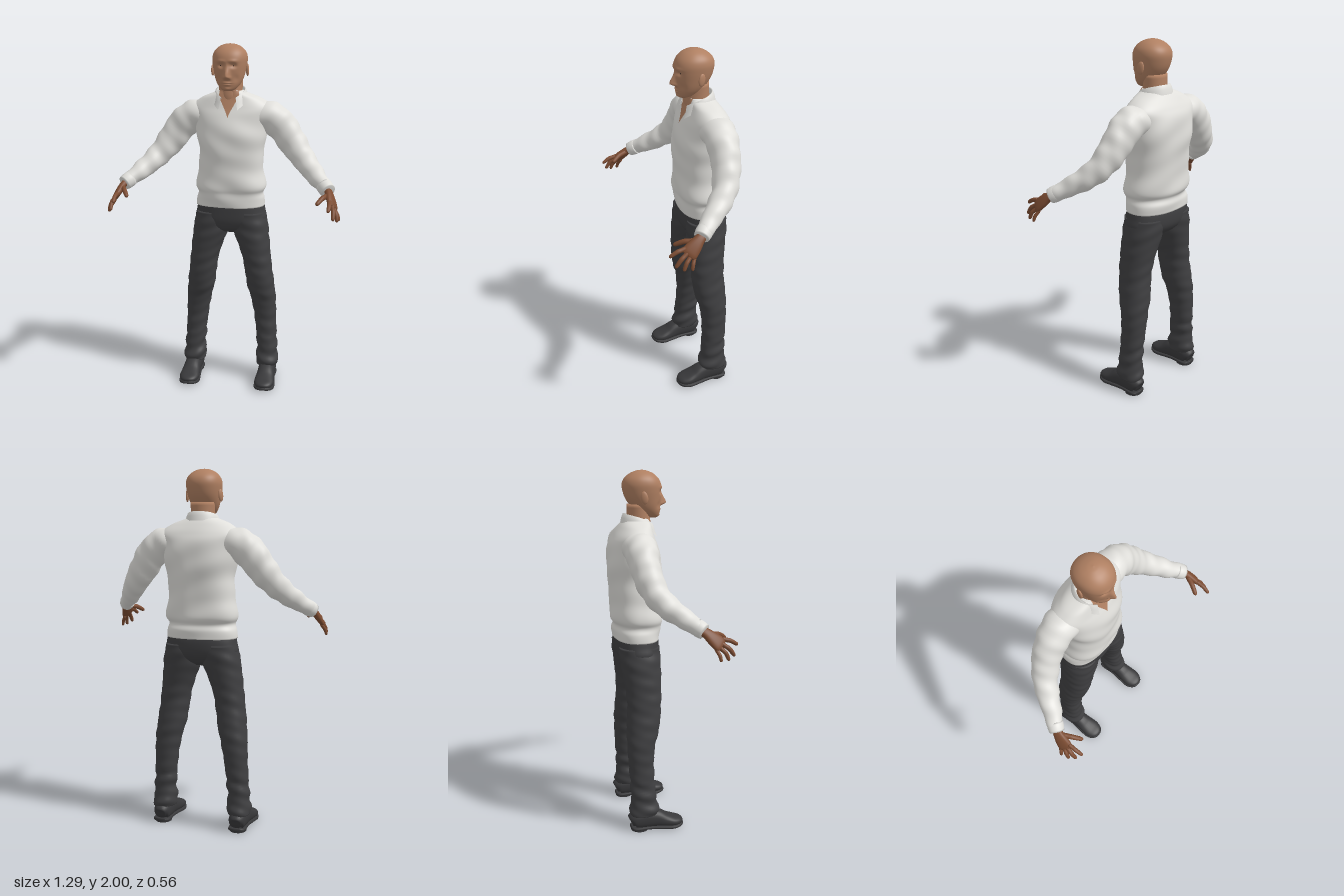
import * as THREE from 'three';

const V = (x, y, z) => new THREE.Vector3(x, y, z);
const mat = (name, color, side = THREE.FrontSide) => {
  const m = new THREE.MeshStandardMaterial({ color, side });
  m.name = name;
  return m;
};

// Grid of points fn(i, j) joined into a smooth surface; wrap closes it in j.
function grid(fn, nu, nv, wrap) {
  const cols = wrap ? nv : nv + 1, pos = [], idx = [];
  for (let i = 0; i <= nu; i++)
    for (let j = 0; j < cols; j++) pos.push(...fn(i, j).toArray());
  for (let i = 0; i < nu; i++)
    for (let j = 0; j < nv; j++) {
      const k = (j + 1) % cols, a = i * cols + j, b = i * cols + k;
      idx.push(a, a + cols, b + cols, a, b + cols, b);
    }
  const g = new THREE.BufferGeometry();
  g.setAttribute('position', new THREE.Float32BufferAttribute(pos, 3));
  g.setIndex(idx);
  g.computeVertexNormals();
  return g;
}

// Smooth surface through sections [x, y, z, a, b]; flat keeps rings level,
// otherwise rings follow the path with b measured along ref.
function surface(sections, { flat = false, ref = V(0, 0, 1), power = 2, tweak } = {}) {
  const path = new THREE.CatmullRomCurve3(sections.map(s => V(s[0], s[1], s[2])), false, 'catmullrom');
  const size = new THREE.CatmullRomCurve3(sections.map(s => V(s[3], s[4], 0)), false, 'catmullrom');
  return (u, th) => {
    const c = path.getPoint(u), r = size.getPoint(u);
    const t = flat ? V(0, 1, 0) : path.getTangent(u);
    const B = ref.clone().addScaledVector(t, -ref.dot(t)).normalize();
    const A = t.clone().cross(B);
    const f = v => Math.sign(v) * Math.abs(v) ** (2 / power);
    const d = A.multiplyScalar(f(Math.cos(th)) * Math.max(r.x, 0.001))
      .addScaledVector(B, f(Math.sin(th)) * Math.max(r.y, 0.001));
    const p = c.clone().add(d);
    if (tweak) tweak(p, d.normalize());
    return p;
  };
}

// Closed body over a surface, with the ends drawn in to a point.
function loft(sections, opts = {}, rows = 40, sides = 40) {
  const s = surface(sections, opts), n = sections.length - 1;
  const end = k => V(sections[k][0], sections[k][1], sections[k][2]);
  return grid((i, j) => {
    if (i === 0) return end(0);
    if (i === rows + 2) return end(n);
    return s((i - 1) / rows, j / sides * Math.PI * 2);
  }, rows + 2, sides, true);
}

// Level rows [y, x0, x1, zBack, zFront] to sections.
const level = rows => rows.map(([y, x0, x1, zb, zf]) =>
  [(x0 + x1) / 2, y, (zb + zf) / 2, (x1 - x0) / 2, (zf - zb) / 2]);
const centred = rows => level(rows.map(([y, w, zb, zf]) => [y, -w, w, zb, zf]));

function mirrored(g) {
  const m = g.clone().scale(-1, 1, 1);
  if (m.index) {
    const a = m.index.array;
    for (let i = 0; i < a.length; i += 3) [a[i], a[i + 1]] = [a[i + 1], a[i]];
  }
  m.computeVertexNormals();
  return m;
}

// Cloth folds pushed along the outward direction.
const shirtFolds = (p, d) => p.addScaledVector(d,
  0.004 * Math.sin(24 * p.x + 9 * p.y) * Math.sin(17 * p.y + 8 * p.z) + 0.002 * Math.sin(46 * p.y + 17 * p.x + 9 * p.z));
const sleeveFolds = (p, d) => p.addScaledVector(d,
  0.004 * Math.sin(55 * p.x - 30 * p.y + 20 * p.z) * Math.sin(20 * p.y + 25 * p.z));
const trouserFolds = (p, d) => p.addScaledVector(d,
  (p.y < 0.3 ? 0.006 : 0.0025) * Math.sin(75 * p.y + 22 * p.x + 15 * p.z) * Math.sin(14 * p.y + 18 * p.z + 1));

// Facial relief: nose, eye sockets, brows, lips and chin.
const bump = (x, y, sx, sy) => Math.exp(-((x / sx) ** 2) - (y / sy) ** 2);
function faceRelief(p) {
  if (p.z < -0.06) return;
  const x = Math.abs(p.x), y = p.y;
  p.z += 0.034 * bump(x, y - 1.825, 0.014, y > 1.825 ? 0.04 : 0.012)
    + 0.007 * bump(x - 0.014, y - 1.82, 0.008, 0.009)
    - 0.013 * bump(x - 0.034, y - 1.884, 0.018, 0.012)
    + 0.005 * bump(x - 0.034, y - 1.908, 0.026, 0.009)
    + 0.007 * bump(x, y - 1.792, 0.022, 0.005)
    + 0.006 * bump(x, y - 1.781, 0.018, 0.005)
    - 0.004 * bump(x, y - 1.7865, 0.026, 0.002)
    + 0.006 * bump(x, y - 1.757, 0.02, 0.01)
    - 0.005 * bump(x - 0.05, y - 1.815, 0.016, 0.02);
}

export function createModel() {
  const model = new THREE.Group();
  const skin = mat('face skin', 0xb08062, THREE.DoubleSide);
  const handSkin = mat('hand skin', 0x7d4d33);
  const shirt = mat('shirt cloth', 0xe0dfdb, THREE.DoubleSide);
  const trousers = mat('trouser cloth', 0x3f3f41);
  const leather = mat('shoe leather', 0x38383a);
  const eyeWhite = mat('eye white', 0xb9a79a);
  const iris = mat('iris', 0x35261f);
  const add = (name, g, m) => {
    const mesh = new THREE.Mesh(g, m);
    mesh.name = name;
    model.add(mesh);
  };
  const pair = (name, g, m) => {
    add('left ' + name, g, m);
    add('right ' + name, mirrored(g), m);
  };

  // Head and neck
  add('head', loft(centred([
    [1.746, 0.022, -0.05, -0.005], [1.757, 0.042, -0.08, 0.008], [1.78, 0.062, -0.115, 0.014],
    [1.81, 0.077, -0.145, 0.017], [1.85, 0.088, -0.173, 0.02], [1.89, 0.095, -0.187, 0.023],
    [1.925, 0.097, -0.191, 0.021], [1.955, 0.088, -0.179, 0.007], [1.98, 0.065, -0.15, -0.02],
    [1.995, 0.034, -0.115, -0.053], [2.0, 0.002, -0.084, -0.08],
  ]), { flat: true, power: 2.15, tweak: faceRelief }, 90, 100), skin);
  add('neck', loft(centred([
    [1.62, 0.07, -0.18, -0.045], [1.7, 0.068, -0.172, -0.035], [1.75, 0.067, -0.168, -0.04], [1.82, 0.068, -0.165, -0.05],
  ]), { flat: true }, 12, 32), skin);
  const ear = new THREE.SphereGeometry(1, 20, 14).scale(0.009, 0.034, 0.02);
  pair('ear', ear.rotateX(-0.15).rotateY(0.25).translate(0.097, 1.857, -0.09), skin);
  pair('eye', new THREE.SphereGeometry(1, 16, 12).scale(0.014, 0.007, 0.01).translate(0.035, 1.884, -0.006), eyeWhite);
  pair('iris', new THREE.SphereGeometry(1, 12, 10).scale(0.0055, 0.006, 0.003).translate(0.034, 1.884, 0.0025), iris);

  // Shirt body
  const bodyRows = centred([
    [1.085, 0.198, -0.248, 0.0], [1.13, 0.198, -0.252, 0.005], [1.165, 0.19, -0.243, 0.008],
    [1.205, 0.203, -0.262, 0.016], [1.3, 0.187, -0.262, 0.012], [1.4, 0.185, -0.27, 0.018],
    [1.5, 0.2, -0.278, 0.018], [1.6, 0.215, -0.268, -0.006], [1.655, 0.225, -0.245, -0.028],
    [1.7, 0.175, -0.212, -0.042], [1.732, 0.095, -0.185, -0.045], [1.745, 0.07, -0.172, -0.045],
  ]);
  const bodyOpts = { flat: true, power: 2.35, tweak: shirtFolds };
  add('shirt body', loft(bodyRows, bodyOpts, 80, 72), shirt);

  // Open neckline, a thin patch lying on the chest
  const body = surface(bodyRows, bodyOpts);
  add('open neckline', grid((i, j) => {
    const u = (7 + 4 * i / 16) / 11, s = j / 6 - 1;
    const half = 0.056 * Math.min(1, i / 9);
    const width = new THREE.CatmullRomCurve3(bodyRows.map(r => V(r[3], 0, 0)), false, 'catmullrom').getPoint(u).x;
    const c = Math.min(1, Math.abs(s) * half / width) ** (2.35 / 2);
    const p = body(u, Math.PI / 2 - Math.sign(s) * Math.asin(c));
    p.z += 0.005;
    return p;
  }, 16, 12, false), skin);

  // Collar: a stand round the neck and a fall that lengthens to points
  add('collar', grid((i, j) => {
    const u = i / 24 - 1, f = Math.abs(u), phi = u * 2.62;
    const top = 1.772 - 0.062 * f * f;
    const r = [0.074, 0.078, 0.084, 0.094, 0.1 + 0.008 * f ** 4][j];
    const drop = [0.045, 0.004, 0, 0.024 + 0.012 * f ** 4, 0.05 + 0.018 * f ** 4][j];
    return V(Math.sin(phi) * r, top - drop, -0.102 - Math.cos(phi) * r);
  }, 48, 4, false), shirt);

  // Sleeves with cuffs
  pair('sleeve', loft([
    [0.12, 1.6, -0.137, 0.07, 0.085], [0.21, 1.6, -0.14, 0.086, 0.092], [0.285, 1.547, -0.138, 0.087, 0.082],
    [0.35, 1.458, -0.125, 0.08, 0.075], [0.42, 1.37, -0.085, 0.066, 0.066], [0.485, 1.305, -0.01, 0.055, 0.056],
    [0.54, 1.258, 0.06, 0.044, 0.045], [0.572, 1.232, 0.098, 0.038, 0.038],
  ], { tweak: sleeveFolds }, 56, 36), shirt);
  pair('cuff', loft([
    [0.545, 1.254, 0.066, 0.043, 0.043], [0.56, 1.242, 0.084, 0.044, 0.044], [0.575, 1.23, 0.102, 0.04, 0.04],
  ], {}, 6, 28), shirt);

  // Hands: palm, then thumb and four fingers [base, middle, tip, radius]
  pair('palm', loft([
    [0.564, 1.24, 0.085, 0.02, 0.026], [0.578, 1.223, 0.112, 0.019, 0.028], [0.59, 1.198, 0.142, 0.019, 0.037],
    [0.601, 1.172, 0.172, 0.016, 0.042], [0.606, 1.16, 0.186, 0.01, 0.036],
  ], { ref: V(-0.45, 0.45, 0.77), power: 2.4 }, 18, 24), handSkin);
  const digits = {
    thumb: [[0.572, 1.216, 0.132], [0.546, 1.207, 0.185], [0.519, 1.182, 0.23], 0.0135],
    'index finger': [[0.587, 1.192, 0.19], [0.588, 1.181, 0.235], [0.584, 1.157, 0.276], 0.0115],
    'middle finger': [[0.599, 1.175, 0.18], [0.61, 1.145, 0.223], [0.61, 1.106, 0.252], 0.0118],
    'ring finger': [[0.608, 1.16, 0.168], [0.625, 1.127, 0.2], [0.63, 1.09, 0.216], 0.011],
    'little finger': [[0.613, 1.148, 0.152], [0.631, 1.117, 0.167], [0.639, 1.088, 0.173], 0.0095],
  };
  for (const [name, [a, b, c, r]] of Object.entries(digits)) {
    const mid = a.map((v, k) => (v + b[k]) / 2), late = b.map((v, k) => v + (c[k] - v) * 0.8);
    pair(name, loft([[...a, r, r], [...mid, r, r], [...b, r, r], [...late, r * 0.8, r * 0.8], [...c, r * 0.25, r * 0.25]],
      { ref: V(1, 0.3, 0) }, 16, 14), handSkin);
  }

  // Trousers
  add('trouser seat', loft(centred([
    [0.93, 0.06, -0.16, -0.06], [0.955, 0.13, -0.205, -0.025], [1.0, 0.205, -0.238, -0.008],
    [1.06, 0.2, -0.246, -0.004], [1.11, 0.19, -0.24, -0.004],
  ]), { flat: true, power: 2.4 }, 24, 48), trousers);
  pair('trouser leg', loft(level([
    [0.095, 0.162, 0.287, -0.21, -0.05], [0.13, 0.158, 0.29, -0.21, -0.048], [0.2, 0.163, 0.282, -0.203, -0.06],
    [0.3, 0.155, 0.277, -0.206, -0.068], [0.4, 0.143, 0.272, -0.212, -0.07], [0.5, 0.125, 0.27, -0.216, -0.06],
    [0.6, 0.1, 0.26, -0.216, -0.032], [0.7, 0.086, 0.247, -0.208, -0.02], [0.8, 0.066, 0.236, -0.212, -0.014],
    [0.9, 0.028, 0.226, -0.224, -0.01], [0.98, 0.004, 0.216, -0.236, -0.01], [1.05, 0.01, 0.2, -0.24, -0.012],
  ]), { flat: true, power: 2.2, tweak: trouserFolds }, 90, 40), trousers);

  // Shoes: upper, sole and heel
  const X = 0.228, up = { ref: V(0, 1, 0) };
  pair('shoe upper', loft([
    [X, 0.05, -0.206, 0.028, 0.03], [X, 0.06, -0.185, 0.046, 0.05], [X, 0.066, -0.12, 0.05, 0.058],
    [X, 0.06, -0.06, 0.05, 0.052], [X, 0.046, -0.01, 0.055, 0.038], [X, 0.037, 0.035, 0.058, 0.028],
    [X, 0.033, 0.068, 0.048, 0.022], [X, 0.03, 0.086, 0.032, 0.016], [X, 0.028, 0.093, 0.012, 0.008],
  ], { ...up, power: 2.3 }, 40, 28), leather);
  pair('shoe sole', loft([
    [X, 0.016, -0.208, 0.028, 0.009], [X, 0.016, -0.185, 0.049, 0.01], [X, 0.017, -0.1, 0.048, 0.01],
    [X, 0.014, -0.03, 0.056, 0.01], [X, 0.011, 0.03, 0.062, 0.011], [X, 0.014, 0.068, 0.052, 0.01],
    [X, 0.019, 0.089, 0.034, 0.009], [X, 0.022, 0.097, 0.012, 0.006],
  ], { ...up, power: 4 }, 30, 24), leather);
  pair('shoe heel', new THREE.CylinderGeometry(0.047, 0.047, 0.02, 28).scale(1, 1, 1.05).translate(X, 0.01, -0.157), leather);

  return model;
}
